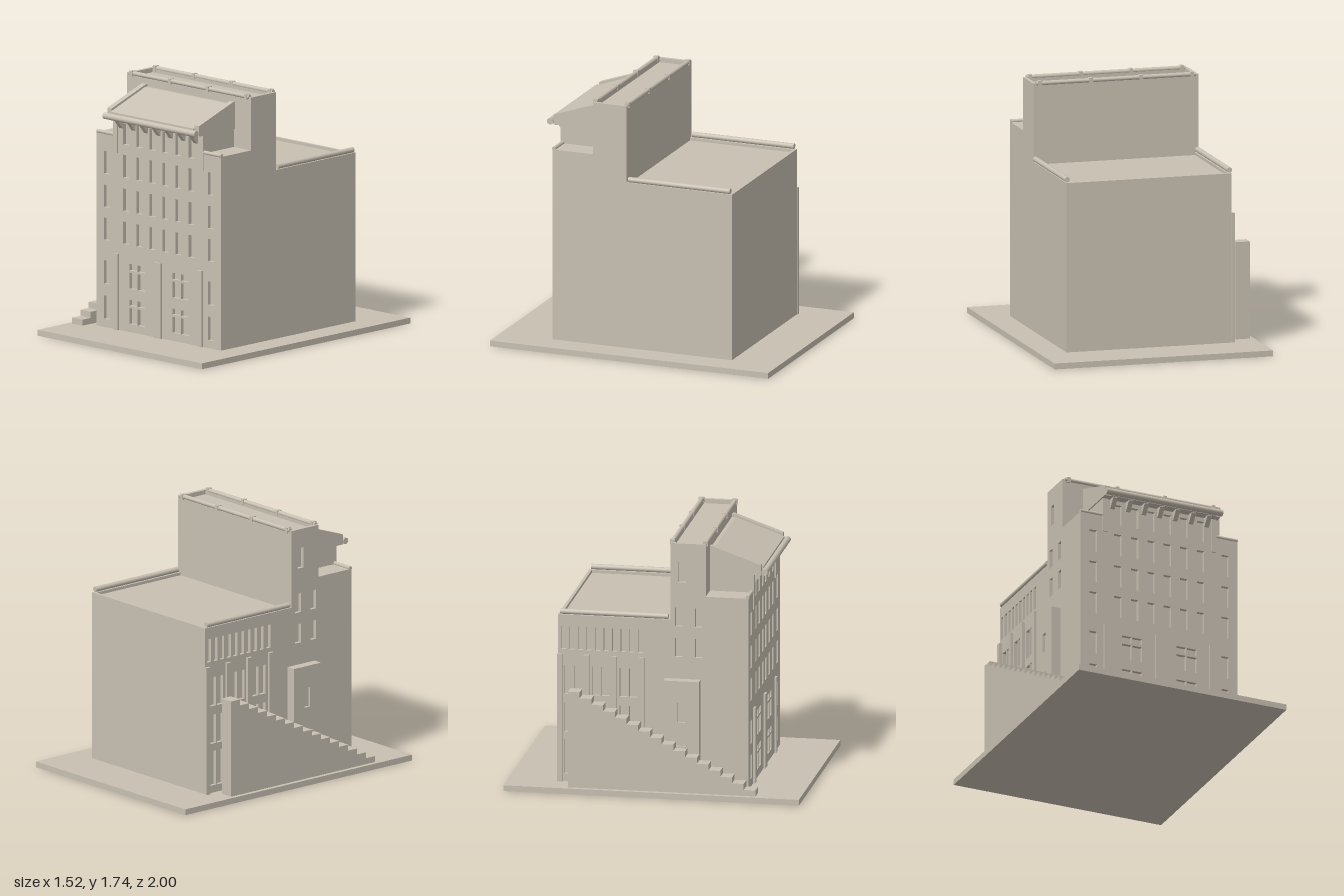
import * as THREE from 'three';

const stone = new THREE.MeshStandardMaterial({ color: 0xc8c0b2 });
stone.name = 'stone';

export function createModel() {
  const model = new THREE.Group();
  model.name = 'building';

  const add = (name, geometry) => {
    const mesh = new THREE.Mesh(geometry, stone);
    mesh.name = name;
    model.add(mesh);
    return mesh;
  };
  // Box given by its limits on each axis
  const box = (name, x0, x1, y0, y1, z0, z1) =>
    add(name, new THREE.BoxGeometry(x1 - x0, y1 - y0, z1 - z0))
      .position.set((x0 + x1) / 2, (y0 + y1) / 2, (z0 + z1) / 2);
  // Shape from points, with rectangular holes [u0, u1, v0, v1]
  const outline = (points, holes = []) => {
    const shape = new THREE.Shape(points.map(([u, v]) => new THREE.Vector2(u, v)));
    for (const [a, b, c, d] of holes) {
      shape.holes.push(new THREE.Path([[a, c], [a, d], [b, d], [b, c]].map(([u, v]) => new THREE.Vector2(u, v))));
    }
    return shape;
  };
  // Side profile in (z, y), extruded from x0 to x1
  const sideways = (name, points, x0, x1, holes) => {
    const geometry = new THREE.ExtrudeGeometry(outline(points, holes), { depth: x1 - x0, bevelEnabled: false });
    add(name, geometry.rotateY(-Math.PI / 2)).position.x = x1;
  };
  const rail = (name, radius, length, axis, x, y, z) => {
    const geometry = new THREE.CylinderGeometry(radius, radius, length, 16);
    if (axis === 'x') geometry.rotateZ(Math.PI / 2);
    else geometry.rotateX(Math.PI / 2);
    add(name, geometry).position.set(x, y, z);
  };

  box('base', -0.76, 0.76, 0, 0.04, -1, 1);

  // Core with sunken roofs behind low parapets
  sideways('core', [
    [-0.665, 0.04], [0.6, 0.04], [0.6, 1.36], [0.335, 1.36], [0.335, 1.715], [0.315, 1.715],
    [0.315, 1.69], [0.115, 1.69], [0.115, 1.715], [0.095, 1.715], [0.095, 1.17],
    [-0.645, 1.17], [-0.645, 1.19], [-0.665, 1.19],
  ], -0.55, 0.55);

  // Side walls, the right one with windows
  const wall = [[-0.665, 0.04], [0.6, 0.04], [0.6, 1.36], [0.335, 1.36], [0.335, 1.72],
    [0.095, 1.72], [0.095, 1.19], [-0.665, 1.19]];
  const sideHoles = [[0.15, 0.2, 1.45, 1.59]];
  for (const z of [0.153, 0.288]) {
    for (const y of [1.0, 1.21]) sideHoles.push([z - 0.025, z + 0.025, y - 0.065, y + 0.065]);
  }
  for (let i = 0; i < 10; i++) {
    const z = -0.63 + i * 0.058;
    sideHoles.push([z - 0.017, z + 0.017, 0.95, 1.11]);
  }
  const bays = [-0.565, -0.378, -0.19];
  for (const z of bays) {
    for (const [y0, y1] of [[0.09, 0.33], [0.38, 0.58], [0.64, 0.84]]) {
      sideHoles.push([z - 0.058, z - 0.006, y0, y1], [z + 0.006, z + 0.058, y0, y1]);
    }
  }
  sideways('leftWall', wall, 0.55, 0.575);
  sideways('rightWall', wall, -0.575, -0.55, sideHoles);

  // Front wall with window openings
  const holes = [];
  const windowRow = (xs, y0, y1) => {
    for (const x of xs) for (const s of [-1, 1]) holes.push([s * x - 0.027, s * x + 0.027, y0, y1]);
  };
  windowRow([0.06, 0.18, 0.303], 1.31, 1.455);
  for (const [y0, y1] of [[1.085, 1.24], [0.857, 1.01], [0.633, 0.785]]) {
    windowRow([0.06, 0.18, 0.303, 0.483], y0, y1);
  }
  windowRow([0.483], 0.335, 0.495);
  windowRow([0.483], 0.095, 0.255);
  for (const [y0, y1] of [[0.46, 0.505], [0.335, 0.445], [0.22, 0.26], [0.095, 0.205]]) {
    for (const [x0, x1] of [[0.126, 0.196], [0.204, 0.274]]) {
      holes.push([x0, x1, y0, y1], [-x1, -x0, y0, y1]);
    }
  }
  const front = outline([[-0.575, 0.04], [0.575, 0.04], [0.575, 1.36], [0.415, 1.36], [0.415, 1.485],
    [-0.415, 1.485], [-0.415, 1.36], [-0.575, 1.36]], holes);
  add('frontWall', new THREE.ExtrudeGeometry(front, { depth: 0.025, bevelEnabled: false })).position.z = 0.6;

  // Front pilasters, upper piers and ledges
  box('centrePilaster', -0.03, 0.03, 0.04, 0.553, 0.625, 0.64);
  for (const s of [-1, 1]) {
    const mirrored = (name, x0, x1, ...rest) => box(name, Math.min(s * x0, s * x1), Math.max(s * x0, s * x1), ...rest);
    mirrored('frontPilaster', 0.367, 0.408, 0.04, 0.56, 0.625, 0.64);
    mirrored('upperPier', 0.38, 0.415, 1.245, 1.485, 0.625, 0.633);
    rail('frontLedge', 0.013, 0.16, 'x', s * 0.495, 1.366, 0.617);
  }

  // Attic with sloping roof between raised side panels
  box('atticBlock', -0.415, 0.415, 1.36, 1.485, 0.335, 0.6);
  sideways('slopingRoof', [[0.335, 1.485], [0.69, 1.485], [0.69, 1.535], [0.36, 1.652], [0.335, 1.652]], -0.385, 0.385);
  for (const s of [-1, 1]) {
    sideways('roofSide', [[0.335, 1.485], [0.68, 1.485], [0.68, 1.555], [0.35, 1.67], [0.335, 1.67]],
      s * 0.404 - 0.02, s * 0.404 + 0.02);
  }
  rail('eavesRail', 0.022, 0.85, 'x', 0, 1.505, 0.705);
  for (let i = -3; i <= 3; i++) {
    sideways('eavesBracket', [[0.625, 1.42], [0.632, 1.42], [0.68, 1.48], [0.68, 1.486], [0.625, 1.486]],
      i * 0.115 - 0.016, i * 0.115 + 0.016);
  }

  // Roof rails and their supports
  for (const z of [0.102, 0.328]) {
    rail('towerRail', 0.015, 1.11, 'x', 0, 1.72, z);
    for (const x of [-0.53, -0.175, 0.175, 0.53]) {
      box('railSupport', x - 0.012, x + 0.012, 1.7, 1.737, z - 0.017, z + 0.017);
    }
  }
  for (const s of [-1, 1]) rail('rearRoofRail', 0.018, 0.73, 'z', s * 0.565, 1.21, -0.285);

  // Right side pilasters
  for (const z of [-0.652, -0.47, -0.285, -0.095]) {
    box('sidePilaster', -0.595, -0.575, 0.04, 0.92, z - 0.018, z + 0.018);
  }

  // Side porch with a window and a small canopy
  box('porch', -0.62, -0.575, 0.04, 0.785, 0.06, 0.3);
  sideways('porchWall', [[0.06, 0.04], [0.3, 0.04], [0.3, 0.785], [0.06, 0.785]], -0.64, -0.62,
    [[0.155, 0.205, 0.5, 0.635], [0.155, 0.205, 0.1, 0.25]]);
  box('porchCanopy', -0.66, -0.64, 0.295, 0.34, 0.15, 0.215);

  // Outside staircase climbing to the back
  const steps = 16, stairs = [[-0.57, 0.04], [0.7, 0.04]];
  const tread = 1.27 / steps, rise = 0.66 / steps;
  for (let i = 0; i < steps; i++) {
    const y = 0.04 + (i + 1) * rise;
    stairs.push([0.7 - i * tread, y], [0.7 - (i + 1) * tread, y]);
  }
  sideways('staircase', stairs, -0.73, -0.635);

  return model;
}
